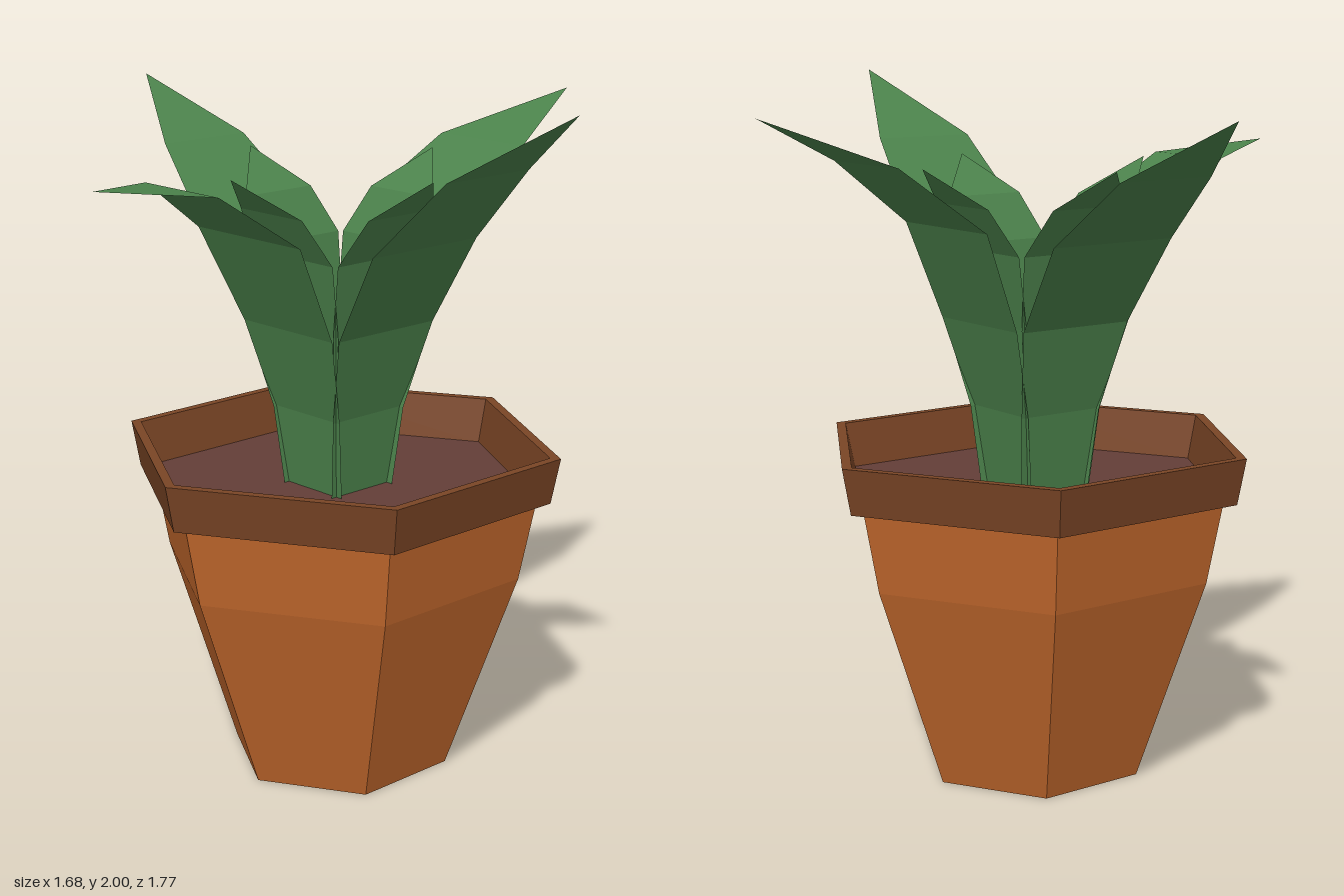
import * as THREE from 'three';

const material = (name, color, side = THREE.FrontSide) =>
  Object.assign(new THREE.MeshStandardMaterial({ color, side, flatShading: true }), { name });

export function createModel() {
  const terracotta = material('terracotta', 0xc4692d);
  const rimBrown = material('rim brown', 0x7a4525);
  const soilBrown = material('soil', 0x633e38);
  const leafGreen = material('leaf green', 0x4c834c, THREE.DoubleSide);

  const group = new THREE.Group();
  group.name = 'pottedPlant';
  const pot = new THREE.Group();
  pot.name = 'pot';
  pot.position.set(0.016, 0, 0.023);
  group.add(pot);

  const add = (parent, name, geometry, mat) => {
    const mesh = new THREE.Mesh(geometry, mat);
    mesh.name = name;
    parent.add(mesh);
    return mesh;
  };

  // Six-sided shell with corners on the x axis; profile is [radius, y]
  const hexShell = (profile) => {
    const points = profile.map(([r, y]) => new THREE.Vector2(r, y));
    const geometry = new THREE.LatheGeometry(points, 6, Math.PI / 2).toNonIndexed();
    geometry.computeVertexNormals();
    return geometry;
  };

  // Pot body, rim, base and soil
  add(pot, 'potBody', hexShell([[0.326, 0], [0.533, 0.6], [0.58, 0.838]]), terracotta);
  add(pot, 'rim', hexShell([[0.575, 0.836], [0.62, 0.836], [0.646, 0.97], [0.615, 0.97], [0.585, 0.836]]), rimBrown);
  add(pot, 'potBase', new THREE.CircleGeometry(0.326, 6).rotateX(Math.PI / 2), soilBrown);
  add(pot, 'soil', new THREE.CircleGeometry(0.585, 6).rotateX(-Math.PI / 2).translate(0, 0.84, 0), soilBrown);

  // Folded leaf strip; rows are [distance along axis, y, edge A, edge B]
  const leaf = (name, axis, rows) => {
    const point = (d, y, e) => (axis === 'x' ? [d, y, e] : [e, y, d]);
    const positions = [];
    for (let i = 0; i < rows.length - 1; i++) {
      const [d0, y0, a0, b0] = rows[i];
      const [d1, y1, a1, b1] = rows[i + 1];
      positions.push(...point(d0, y0, a0), ...point(d0, y0, b0), ...point(d1, y1, b1));
      if (a1 !== b1) positions.push(...point(d0, y0, a0), ...point(d1, y1, b1), ...point(d1, y1, a1));
    }
    const geometry = new THREE.BufferGeometry();
    geometry.setAttribute('position', new THREE.Float32BufferAttribute(positions, 3));
    geometry.computeVertexNormals();
    // Upper side of every leaf is its front, so the winding follows the axis
    add(group, name, geometry, leafGreen);
  };

  // Long outer leaves: shared stem, individual blade and tip
  const outer = [
    ['frontLeaf', 'z', 1, [[0.36, 1.585, -0.185, 0.213], [0.59, 1.81, -0.15, 0.165], [0.885, 2, 0.015, 0.015]]],
    ['backLeaf', 'z', -1, [[-0.345, 1.575, -0.185, 0.22], [-0.6, 1.765, -0.105, 0.2], [-0.885, 1.93, 0.055, 0.055]]],
    ['leftLeaf', 'x', 1, [[0.325, 1.605, -0.19, 0.207], [0.545, 1.785, -0.1, 0.225], [0.84, 1.915, 0.13, 0.13]]],
    ['rightLeaf', 'x', -1, [[-0.31, 1.605, -0.205, 0.215], [-0.54, 1.765, -0.145, 0.157], [-0.84, 1.8, 0.02, 0.02]]],
  ];
  for (const [name, axis, s, blade] of outer) {
    const stem = [[0.1, 0.84, 0.12], [0.125, 1.07, 0.138], [0.195, 1.325, 0.182]]
      .map(([d, y, w]) => [0.015 + s * d, y, 0.017 - w, 0.017 + w]);
    leaf(name, axis, [...stem, ...blade]);
  }

  // Short inner leaves, one inside each outer leaf
  const inner = [
    ['innerFrontLeaf', 'z', 1, 0.4, 0.0], ['innerBackLeaf', 'z', -1, -0.385, 0.04],
    ['innerLeftLeaf', 'x', 1, 0.405, 0.0], ['innerRightLeaf', 'x', -1, -0.37, 0.005],
  ];
  for (const [name, axis, s, tip, tipSide] of inner) {
    const rows = [[0.095, 0.84, 0.1], [0.11, 1.07, 0.115], [0.14, 1.32, 0.15], [0.18, 1.53, 0.17], [0.25, 1.66, 0.125]]
      .map(([d, y, w]) => [0.015 + s * d, y, 0.015 - w, 0.015 + w]);
    leaf(name, axis, [...rows, [tip, 1.77, tipSide, tipSide]]);
  }

  return group;
}
